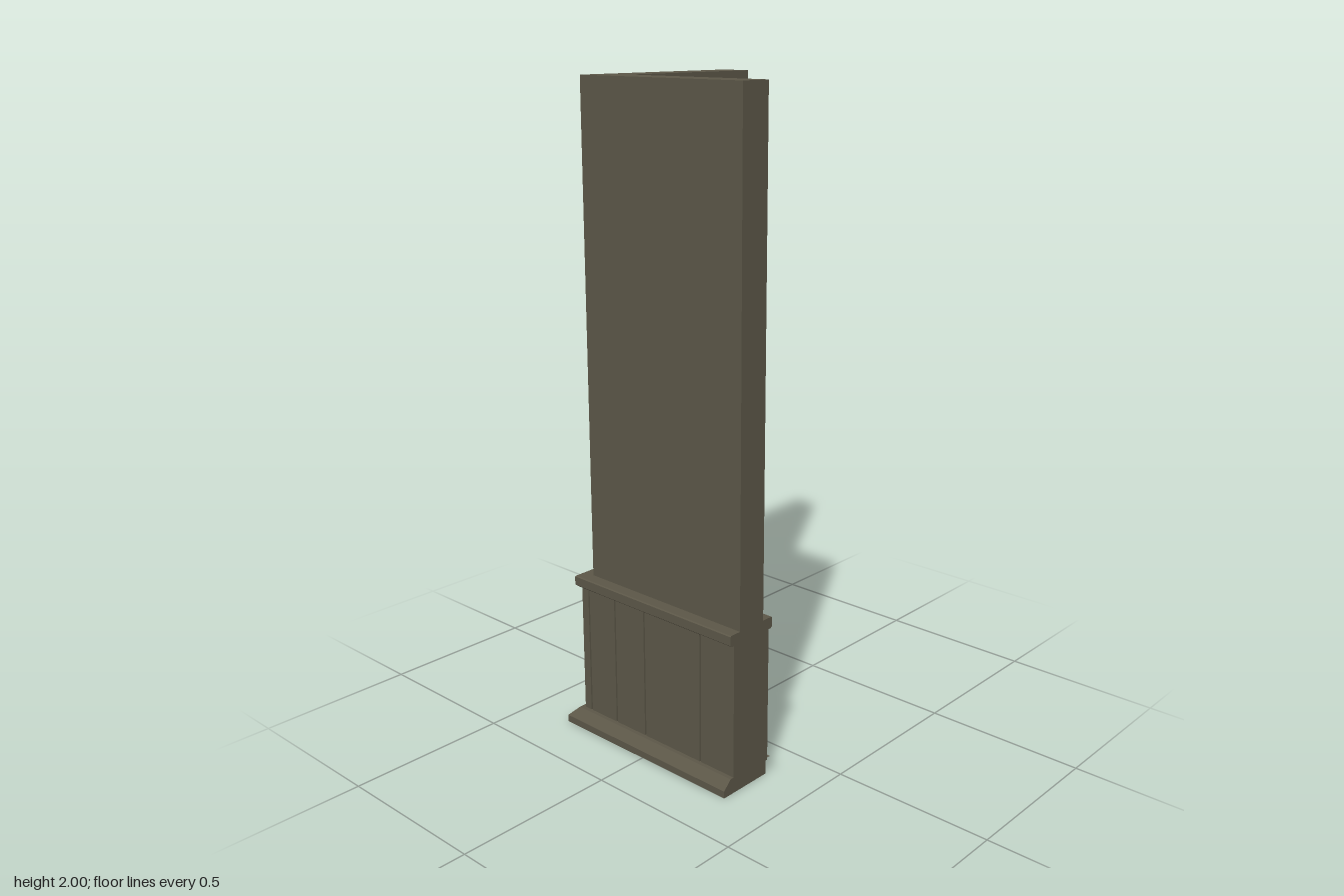
import * as THREE from 'three';

const END = 0.333; // free ends of both wall legs
const OUT = { x: -0.27, z: 0.265, s: 1 }; // outer wall faces
const INN = { x: -0.17, z: 0.165, s: -1 }; // inner wall faces

export function createModel() {
  const group = new THREE.Group();
  group.name = 'wallCorner';
  const wood = new THREE.MeshStandardMaterial({ color: 0x5c5748 });
  wood.name = 'dark olive wood';

  const add = (geometry, name) => {
    const mesh = new THREE.Mesh(geometry, wood);
    mesh.name = name;
    group.add(mesh);
    return mesh;
  };

  // Sweep a profile of [offset from wall, height] round the mitred corner.
  const sweep = (face, profile, closed) => {
    const rows = profile.map(([o, y]) => {
      const x = face.x - face.s * o, z = face.z + face.s * o;
      return [[END, y, z], [x, y, z], [x, y, -END]];
    });
    const pos = [];
    const tri = (a, b, c, flip) => pos.push(...a, ...(flip ? c : b), ...(flip ? b : c));
    const n = profile.length;
    const outer = face.s > 0;
    for (let j = 0; j < (closed ? n : n - 1); j++) {
      const lo = rows[j], hi = rows[(j + 1) % n];
      for (let i = 0; i < 2; i++) {
        tri(lo[i], lo[i + 1], hi[i + 1], outer);
        tri(lo[i], hi[i + 1], hi[i], outer);
      }
    }
    // End caps
    if (closed) {
      for (let j = 1; j < n - 1; j++) {
        tri(rows[0][0], rows[j][0], rows[j + 1][0], outer);
        tri(rows[0][2], rows[j][2], rows[j + 1][2], !outer);
      }
    }
    const g = new THREE.BufferGeometry();
    g.setAttribute('position', new THREE.Float32BufferAttribute(pos, 3));
    g.computeVertexNormals();
    return g;
  };

  // L-shaped wall
  const plan = new THREE.Shape([
    [OUT.x, -OUT.z], [END, -OUT.z], [END, -INN.z],
    [INN.x, -INN.z], [INN.x, END], [OUT.x, END],
  ].map(([x, y]) => new THREE.Vector2(x, y)));
  const wall = new THREE.ExtrudeGeometry(plan, { depth: 2, bevelEnabled: false });
  wall.rotateX(-Math.PI / 2);
  add(wall, 'wall');

  // Backing, top rail and skirting on both sides
  const backing = [[0, 0], [0.018, 0], [0.018, 0.48], [0, 0.48]];
  const rail = [[0, 0.465], [0.034, 0.465], [0.04, 0.47], [0.04, 0.497], [0.037, 0.5], [0, 0.5]];
  const skirting = [[0, 0], [0.065, 0], [0.065, 0.022], [0.038, 0.05], [0, 0.05]];
  for (const [face, side] of [[OUT, 'outer'], [INN, 'inner']]) {
    add(sweep(face, backing, true), side + 'Backing');
    add(sweep(face, rail, true), side + 'Rail');
    // the inner skirting is an open strip without ends or underside
    if (face === OUT) add(sweep(face, skirting, true), 'outerSkirting');
    else add(sweep(face, skirting.slice(1), false), 'innerSkirting');
  }

  // Upright boards between the cuts, separated by narrow grooves
  const boards = (face, alongX, cuts, name) => {
    for (let i = 0; i < cuts.length - 1; i++) {
      const a = cuts[i] + (i ? 0.003 : 0);
      const b = cuts[i + 1] - (i < cuts.length - 2 ? 0.003 : 0);
      const w = b - a, mid = (a + b) / 2, off = face.s * 0.0205;
      const g = new THREE.BoxGeometry(alongX ? w : 0.009, 0.43, alongX ? 0.009 : w);
      const mesh = add(g, name);
      if (alongX) mesh.position.set(mid, 0.258, face.z + off);
      else mesh.position.set(face.x - off, 0.258, mid);
    }
  };
  boards(OUT, true, [-0.295, -0.265, -0.15, -0.025, 0.203, END], 'frontBoard');
  boards(OUT, false, [-END, -0.065, 0.18, 0.29], 'sideBoard');
  boards(INN, true, [-0.145, -0.08, 0.03, 0.065, END], 'innerFrontBoard');
  boards(INN, false, [-END, -0.2, -0.075, 0.045, 0.14], 'innerSideBoard');

  return group;
}
